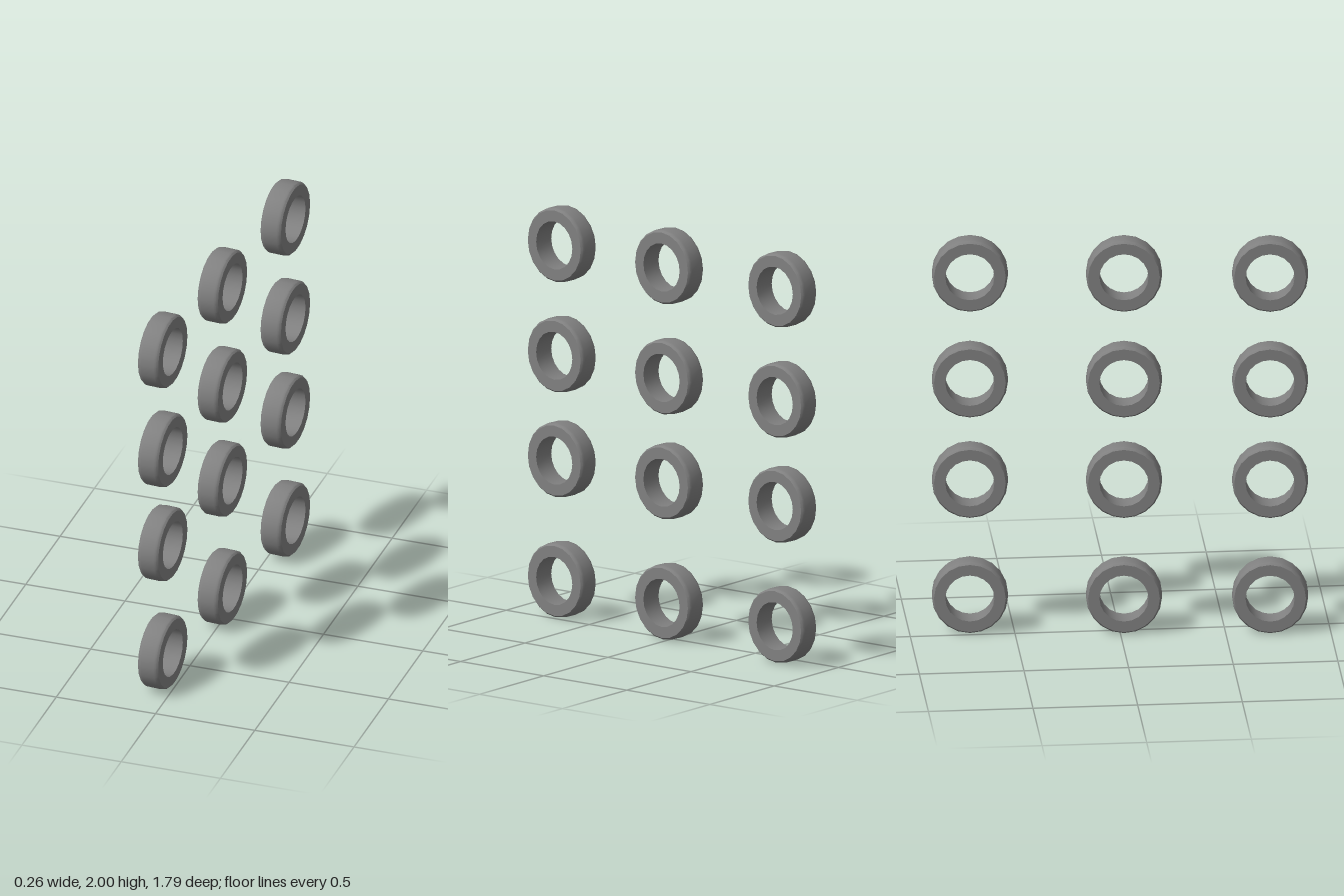
import * as THREE from 'three';
import { toCreasedNormals } from 'three/addons/utils/BufferGeometryUtils.js';

const OUTER = 0.181, INNER = 0.117, HALF = 0.053, TILT = -0.085;

// Closed tyre cross-section (radius, axial position) with slightly bevelled shoulders
function tyreGeometry() {
  const profile = [
    [INNER, -HALF], [OUTER - 0.01, -HALF], [OUTER - 0.002, -HALF + 0.009], [OUTER, -HALF + 0.02],
    [OUTER, HALF - 0.02], [OUTER - 0.002, HALF - 0.009], [OUTER - 0.01, HALF], [INNER, HALF], [INNER, -HALF],
  ].map(([r, a]) => new THREE.Vector2(r, a));
  const ring = toCreasedNormals(new THREE.LatheGeometry(profile, 20), 0.6);
  ring.rotateZ(-Math.PI / 2); // axle along x
  ring.rotateY(TILT);
  return ring;
}

export function createModel() {
  const model = new THREE.Group();
  model.name = 'tyreSet';
  const geometry = tyreGeometry();
  const material = new THREE.MeshStandardMaterial({ color: 0x808080 });

  // Three columns of four tyres, stepped sideways along the slanted line
  const columns = [[-0.063, 0.714], [-0.002, 0.021], [0.062, -0.71]];
  const rows = [0.182, 0.769, 1.281, 1.82];
  columns.forEach(([x, z], c) => {
    const column = new THREE.Group();
    column.name = `tyreColumn${c + 1}`;
    column.position.set(x, 0, z);
    rows.forEach((y, r) => {
      const tyre = new THREE.Mesh(geometry, material);
      tyre.name = `tyre${r + 1}`;
      tyre.position.y = y;
      column.add(tyre);
    });
    model.add(column);
  });
  return model;
}
